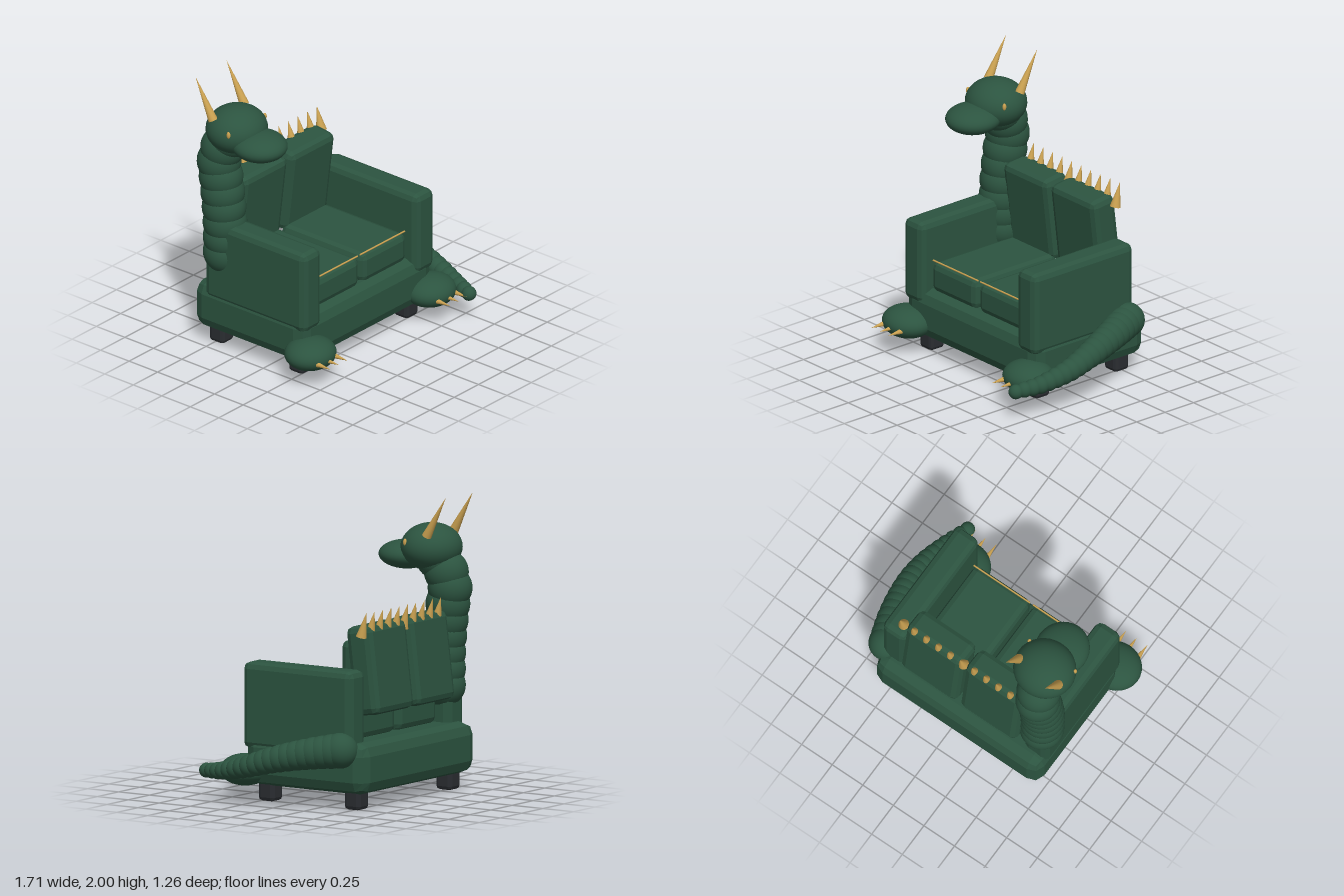
import * as THREE from 'three';
import { RoundedBoxGeometry } from 'three/addons/geometries/RoundedBoxGeometry.js';

export function createModel() {
  const root = new THREE.Group();
  root.name = 'dragonSofa';
  const green = new THREE.MeshStandardMaterial({ color: 0x2c5440 });
  const fabric = new THREE.MeshStandardMaterial({ color: 0x2c5440, flatShading: true });
  const gold = new THREE.MeshStandardMaterial({ color: 0xc9a050 });
  const dark = new THREE.MeshStandardMaterial({ color: 0x2a2d31, flatShading: true });
  const v = (x, y, z) => new THREE.Vector3(x, y, z);

  function add(name, geometry, material, x, y, z, parent = root) {
    const mesh = new THREE.Mesh(geometry, material);
    mesh.name = name;
    mesh.position.set(x, y, z);
    parent.add(mesh);
    return mesh;
  }
  // Box with bevelled edges
  const block = (name, w, h, d, r, x, y, z, material = fabric) =>
    add(name, new RoundedBoxGeometry(w, h, d, 1, r), material, x, y, z);
  // Ellipsoid with radii rx, ry, rz
  function ellipsoid(name, rx, ry, rz, x, y, z, material = green, parent = root) {
    const mesh = add(name, new THREE.SphereGeometry(1, 32, 20), material, x, y, z, parent);
    mesh.scale.set(rx, ry, rz);
    return mesh;
  }
  // Cone from the centre of its base to its tip
  function spike(name, radius, base, tip, parent = root) {
    const axis = tip.clone().sub(base);
    const mid = base.clone().add(tip).multiplyScalar(0.5);
    const mesh = add(name, new THREE.ConeGeometry(radius, axis.length(), 16), gold, mid.x, mid.y, mid.z, parent);
    mesh.quaternion.setFromUnitVectors(v(0, 1, 0), axis.normalize());
  }
  // Overlapping balls along a curve, giving a ringed body
  function beads(name, points, count, r0, r1) {
    const group = new THREE.Group();
    group.name = name;
    root.add(group);
    const curve = new THREE.CatmullRomCurve3(points);
    for (let i = 0; i < count; i++) {
      const t = i / (count - 1);
      const p = curve.getPointAt(t);
      const r = r0 + (r1 - r0) * t;
      ellipsoid(name + 'Segment', r, r, r, p.x, p.y, p.z, green, group);
    }
  }

  // Sofa body
  const midX = -0.065;
  block('base', 1.35, 0.345, 0.975, 0.085, midX, 0.2875, -0.1475);
  for (const side of [-1, 1]) {
    block('armrest', 0.19, 0.585, 0.88, 0.045, midX + side * 0.58, 0.6525, -0.09);
    const cx = midX + side * 0.2425;
    block('seatCushion', 0.46, 0.21, 0.73, 0.045, cx, 0.56, -0.085);
    const back = block('backCushion', 0.46, 0.6, 0.2, 0.045, cx, 0.925, -0.475);
    back.rotation.x = 0.12;
    const piping = add('seatPiping', new THREE.CylinderGeometry(0.006, 0.006, 0.46, 8), gold, cx, 0.669, 0.255);
    piping.rotation.z = Math.PI / 2;
    for (const z of [0.208, -0.488]) {
      block('foot', 0.125, 0.16, 0.125, 0.025, midX + side * 0.54, 0.085, z, dark);
    }
  }

  // Row of spikes along the backrest
  for (let i = 0; i < 10; i++) {
    const x = -0.44 + i * 0.098;
    spike('backSpike', 0.037, v(x, 1.165, -0.505), v(x, 1.33, -0.545));
  }

  // Front paws with claws
  for (const x of [-0.68, 0.555]) {
    ellipsoid('paw', 0.183, 0.107, 0.17, x, 0.212, 0.355);
    for (const dx of [-0.087, 0, 0.087]) {
      spike('claw', 0.02, v(x + dx, 0.2, 0.48), v(x + dx, 0.2, 0.605));
    }
  }

  // Neck and tail
  beads('neck', [
    v(-0.635, 0.7, -0.43), v(-0.64, 0.95, -0.43), v(-0.64, 1.2, -0.455),
    v(-0.635, 1.41, -0.48), v(-0.615, 1.56, -0.4),
  ], 9, 0.15, 0.15);
  beads('tail', [
    v(0.62, 0.415, -0.455), v(0.7, 0.385, -0.25), v(0.76, 0.33, 0),
    v(0.77, 0.27, 0.2), v(0.735, 0.22, 0.42), v(0.688, 0.203, 0.58),
  ], 19, 0.12, 0.05);

  // Head
  const hx = -0.605;
  ellipsoid('skull', 0.215, 0.162, 0.205, hx, 1.632, -0.355);
  ellipsoid('snout', 0.183, 0.097, 0.193, hx, 1.566, -0.155);
  for (const side of [-1, 1]) {
    ellipsoid('eye', 0.012, 0.025, 0.014, hx + side * 0.187, 1.675, -0.268, gold);
    spike('horn', 0.033, v(hx + side * 0.16, 1.725, -0.425), v(hx + side * 0.16, 2, -0.58));
  }
  return root;
}
